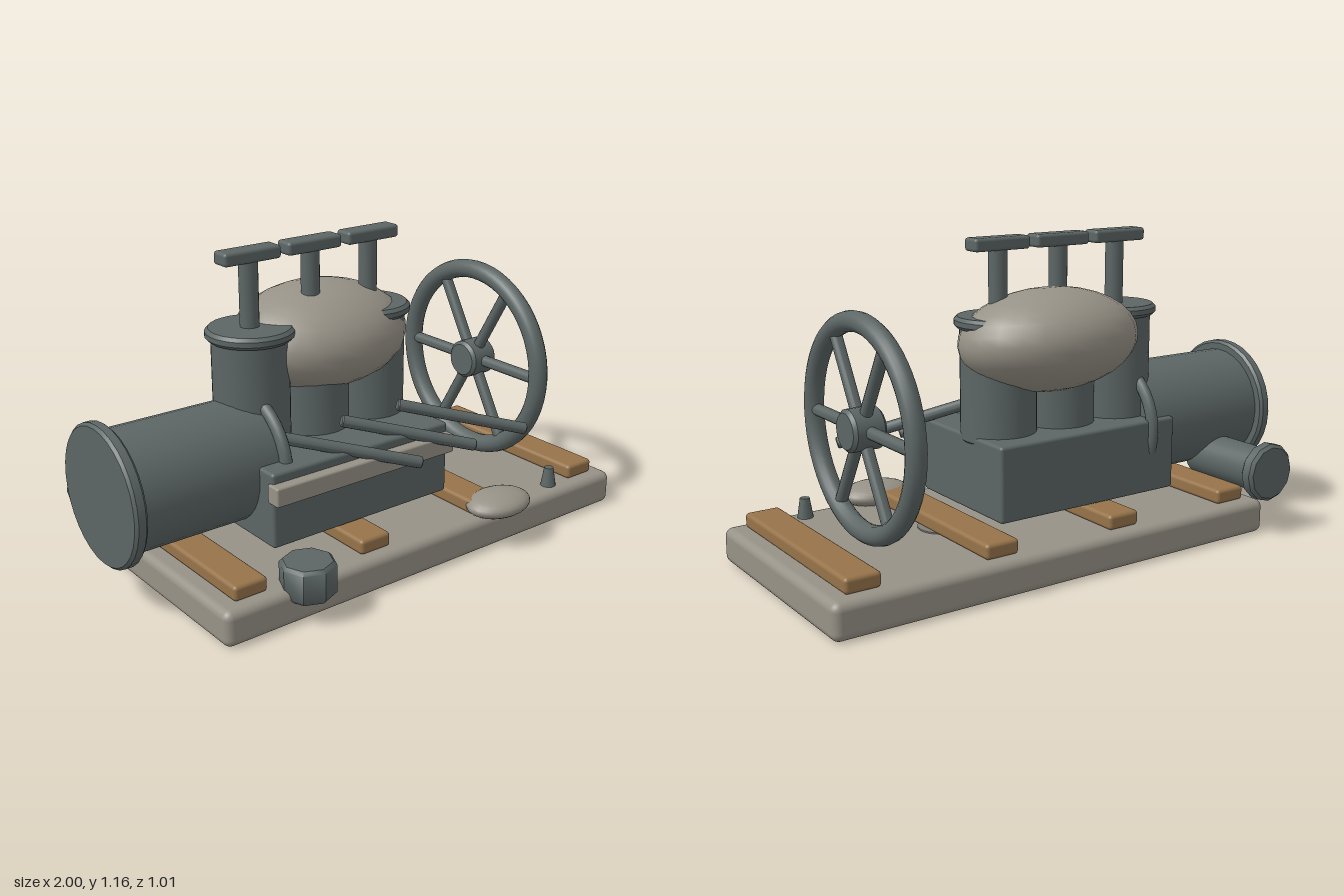
import * as THREE from 'three';
import { RoundedBoxGeometry } from 'three/addons/geometries/RoundedBoxGeometry.js';
import { toCreasedNormals } from 'three/addons/utils/BufferGeometryUtils.js';

export function createModel() {
  const model = new THREE.Group();
  model.name = 'stationaryEngine';
  const mat = (name, color) => Object.assign(new THREE.MeshStandardMaterial({ color }), { name });
  const iron = mat('iron', 0x5c6665);
  const stone = mat('stone', 0x979287);
  const wood = mat('wood', 0x96734a);
  const stain = mat('stain', 0x7f7f77);

  const add = (name, geo, material, x, y, z, parent = model) => {
    const mesh = new THREE.Mesh(geo, material);
    mesh.name = name;
    mesh.position.set(x, y, z);
    parent.add(mesh);
    return mesh;
  };
  // Rounded box given by its extents
  const box = (name, material, x0, x1, y0, y1, z0, z1, r) =>
    add(name, new RoundedBoxGeometry(x1 - x0, y1 - y0, z1 - z0, 3, r), material,
      (x0 + x1) / 2, (y0 + y1) / 2, (z0 + z1) / 2);
  // Upright drum with softened rims, centred on its own middle
  const drum = (r, h, b = 0.008, sides = 32) => {
    const pts = [[0, -h / 2], [r - b, -h / 2], [r, -h / 2 + b], [r, h / 2 - b], [r - b, h / 2], [0, h / 2]];
    return toCreasedNormals(new THREE.LatheGeometry(pts.map(p => new THREE.Vector2(...p)), sides), 0.75);
  };
  // Round rod between two points
  const rod = (name, a, b, r, parent = model) => {
    const dir = b.clone().sub(a);
    const mid = a.clone().add(b).multiplyScalar(0.5);
    const m = add(name, drum(r, dir.length(), 0.004, 14), iron, mid.x, mid.y, mid.z, parent);
    m.quaternion.setFromUnitVectors(new THREE.Vector3(0, 1, 0), dir.normalize());
  };
  const V = (x, y, z) => new THREE.Vector3(x, y, z);
  const alongX = g => g.rotateZ(Math.PI / 2);
  const alongZ = g => g.rotateX(Math.PI / 2);

  // Foundation slab and sleepers
  box('slab', stone, -0.82, 1, 0, 0.13, -0.45, 0.43, 0.03);
  for (const x of [-0.69, -0.17, 0.35, 0.87])
    box('sleeper', wood, x - 0.065, x + 0.065, 0.13, 0.185, -0.4, 0.38, 0.014);
  add('oilStain', new THREE.CylinderGeometry(0.09, 0.09, 0.006, 28), stain, 0.35, 0.132, -0.01);

  // Engine block with its front ledge
  box('engineBlock', iron, -0.51, 0.27, 0.19, 0.465, -0.27, 0.25, 0.012);
  box('frontLedge', stone, -0.52, 0.27, 0.36, 0.43, 0.23, 0.29, 0.008);

  // Horizontal boiler with end flange and joint ring
  add('boiler', alongX(drum(0.215, 0.57)), iron, -0.695, 0.42, -0.04);
  add('boilerFlange', alongX(drum(0.25, 0.048, 0.01)), iron, -0.976, 0.42, -0.04);
  add('jointRing', new THREE.TorusGeometry(0.226, 0.023, 10, 40).rotateY(Math.PI / 2), iron, -0.407, 0.42, -0.04);

  // Exhaust port at the back of the boiler
  add('exhaustPipe', alongZ(drum(0.085, 0.34, 0.006, 24)), iron, -0.795, 0.25, -0.29);
  add('exhaustFlange', alongZ(drum(0.111, 0.058, 0.012, 12)), iron, -0.795, 0.252, -0.478);

  // Three cylinders, each with collar, valve stem, crossbar and lever
  for (const x of [-0.38, -0.12, 0.14]) {
    add('cylinder', drum(0.137, 0.42), iron, x, 0.645, -0.06);
    add('cylinderCollar', drum(0.157, 0.042, 0.012), iron, x, 0.861, -0.06);
    add('valveStem', drum(0.034, 0.3, 0.004, 18), iron, x, 0.975, -0.06);
    box('crossbar', iron, x - 0.115, x + 0.115, 1.11, 1.157, -0.098, -0.022, 0.012);
    rod('lever', V(x - 0.01, 0.53, 0.13), V(x + 0.44, 0.393, 0.348), 0.022);
  }

  // Boulder resting across the cylinders
  const boulder = add('boulder', new THREE.SphereGeometry(1, 24, 16), stone, -0.045, 0.785, -0.11);
  boulder.scale.set(0.352, 0.187, 0.265);
  boulder.rotation.x = 0.12;

  // Spoked flywheel
  const wheel = new THREE.Group();
  wheel.name = 'flywheel';
  wheel.position.set(0.687, 0.55, -0.06);
  model.add(wheel);
  add('rim', new THREE.TorusGeometry(0.36, 0.036, 14, 56).rotateY(Math.PI / 2), iron, 0, 0, 0, wheel);
  add('hub', alongX(drum(0.074, 0.125, 0.012, 28)), iron, 0, 0, 0, wheel);
  for (let i = 0; i < 6; i++) {
    const a = i * Math.PI / 3;
    rod('spoke', V(0, 0, 0), V(0, Math.sin(a) * 0.345, Math.cos(a) * 0.345), 0.022, wheel);
  }

  // Loose parts near the front edge
  add('largeNut', drum(0.098, 0.125, 0.012, 8), iron, -0.483, 0.147, 0.405);
  add('flatStone', new THREE.SphereGeometry(1, 24, 14), stone, 0.4, 0.16, 0.4).scale.set(0.136, 0.046, 0.1);
  add('smallPeg', new THREE.CylinderGeometry(0.018, 0.03, 0.075, 14), iron, 0.71, 0.166, 0.362);

  return model;
}
